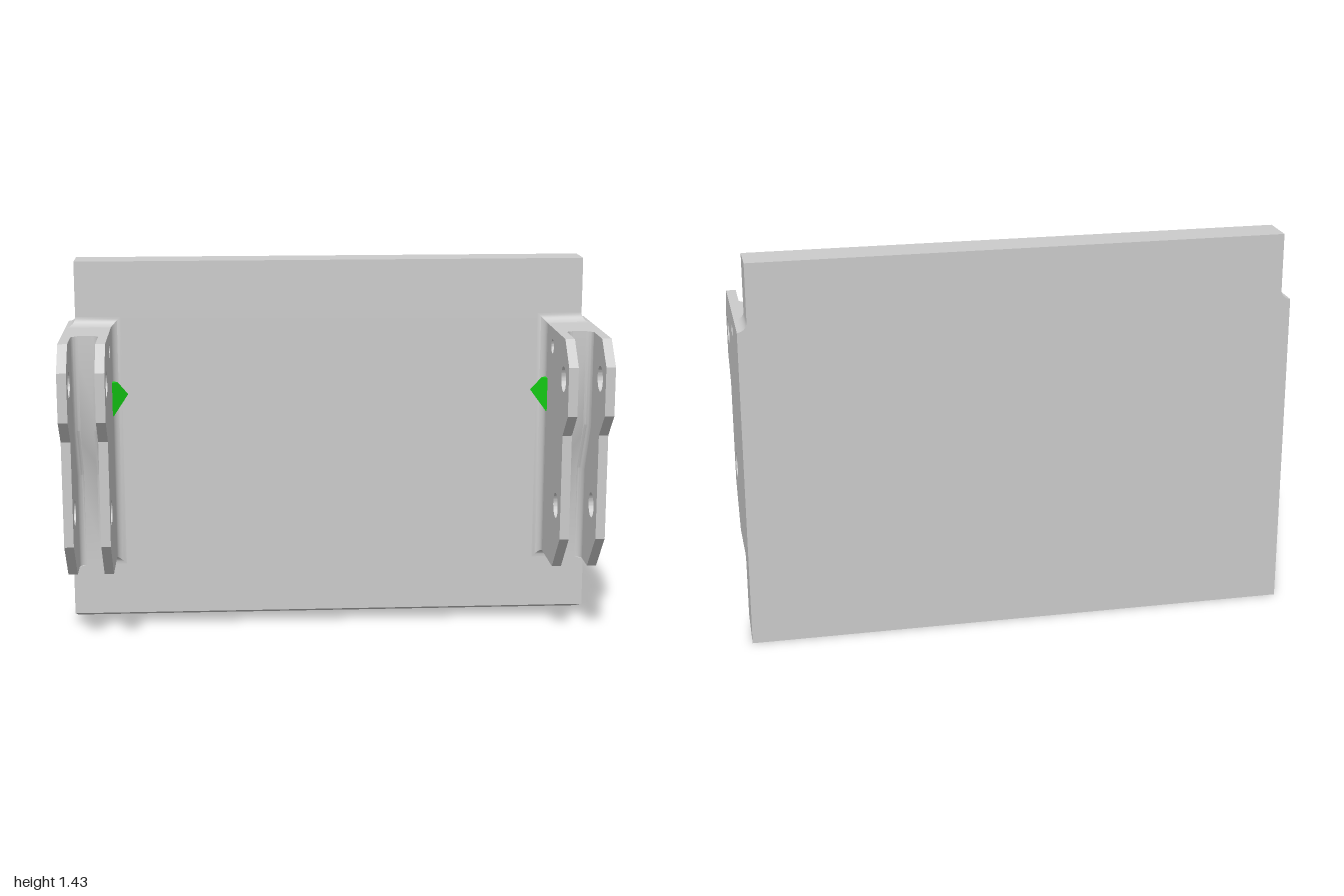
import * as THREE from 'three';
import { toCreasedNormals } from 'three/addons/utils/BufferGeometryUtils.js';

const grey = new THREE.MeshStandardMaterial({ color: 0xcccccc });
const green = new THREE.MeshStandardMaterial({ color: 0x14d214 });

const BACK = -0.312, FACE = -0.175;      // plate back and front
const IN = 0.83, OUT = 1, NOTCH = 0.965; // bracket inner and outer sides, notch side
const LOW = 0.285, TOP = 1.185;          // bracket bottom and top
const R = 0.035, STEPS = 8;              // root fillet
const SLOT_IN = 0.865, SLOT_OUT = 0.965;

// Concave quarter round: e = distance out from the plate, d = height above the bracket
const fillet = Array.from({ length: STEPS + 1 }, (_, k) => {
  const t = (k / STEPS) * Math.PI / 2;
  return { e: R * (1 - Math.cos(t)), d: R * (1 - Math.sin(t)) };
});

const polygon = (pts) => new THREE.Shape(pts.map(([x, y]) => new THREE.Vector2(x, y)));

// Extrudes a (z, y) outline with round holes between two x positions
function sideExtrude(pts, holes, x0, x1) {
  const shape = polygon(pts);
  for (const [z, y, r] of holes) shape.holes.push(new THREE.Path().absarc(z, y, r, 0, Math.PI * 2, true));
  return new THREE.ExtrudeGeometry(shape, { depth: x1 - x0, bevelEnabled: false, curveSegments: 24 })
    .rotateY(-Math.PI / 2).translate(x1, 0, 0);
}

// Joins rings of points into a surface, with optional fan caps
function loft(rings, caps) {
  const out = [];
  const tri = (...p) => {
    const [a, b, c] = p.map((q) => new THREE.Vector3(...q));
    if (b.sub(a).cross(c.sub(a)).length() > 1e-9) out.push(...p.flat());
  };
  const n = rings[0].length;
  for (let k = 0; k < rings.length - 1; k++) {
    for (let i = 0; i < n; i++) {
      const j = (i + 1) % n, lo = rings[k], hi = rings[k + 1];
      tri(lo[i], lo[j], hi[j]);
      tri(lo[i], hi[j], hi[i]);
    }
  }
  if (caps) {
    const first = rings[0], last = rings[rings.length - 1];
    for (let i = 1; i < n - 1; i++) {
      tri(first[0], first[i + 1], first[i]);
      tri(last[0], last[i], last[i + 1]);
    }
  }
  return new THREE.BufferGeometry().setAttribute('position', new THREE.Float32BufferAttribute(out, 3));
}

// Mirrors in x and restores the corner order
function mirrored(geometry) {
  const g = geometry.index ? geometry.toNonIndexed() : geometry.clone();
  g.scale(-1, 1, 1);
  const p = g.attributes.position;
  const a = new THREE.Vector3(), b = new THREE.Vector3();
  for (let i = 0; i < p.count; i += 3) {
    a.fromBufferAttribute(p, i + 1);
    b.fromBufferAttribute(p, i + 2);
    p.setXYZ(i + 1, b.x, b.y, b.z);
    p.setXYZ(i + 2, a.x, a.y, a.z);
  }
  return g;
}

function addMesh(parent, name, geometry, material = grey) {
  const mesh = new THREE.Mesh(toCreasedNormals(geometry, 0.5), material);
  mesh.name = name;
  parent.add(mesh);
}

// Plate with notched upper corners and a slanted lower edge
function plateGeometry() {
  const right = [[OUT, 0], ...fillet.slice().reverse().map(({ e, d }) => [NOTCH + e, TOP + d]), [NOTCH, 1.43]];
  const left = right.map(([x, y]) => [-x, y]).reverse();
  const g = new THREE.ExtrudeGeometry(polygon([...right, ...left]), { depth: FACE - BACK, bevelEnabled: false })
    .translate(0, 0, BACK);
  const p = g.attributes.position;
  for (let i = 0; i < p.count; i++) {
    if (p.getY(i) < 0.01 && p.getZ(i) > FACE - 0.01) p.setY(i, 0.05);
  }
  return g;
}

// Flared root that blends the bracket into the plate and around the notch
function rootGeometry() {
  return loft(fillet.map(({ e, d }, k) => {
    const ring = [[IN - d, LOW - d], [OUT, LOW - d]];
    for (let j = STEPS; j >= 0; j--) {
      const f = fillet[Math.max(j, k)];
      ring.push([NOTCH + f.e, TOP + f.d]);
    }
    ring.push([IN - d, TOP + d]);
    return ring.map(([x, y]) => [x, y, FACE + e]);
  }), false);
}

// Rounded inner corner along the stepped slot floor
function slotCornerGeometry(floor, x, dir) {
  const r = 0.025;
  return loft(floor.map(([z, y]) => {
    const ring = [[x, y, z]];
    for (let i = 0; i <= 6; i++) {
      const t = (i / 6) * Math.PI / 2;
      ring.push([x + dir * r * (1 - Math.cos(t)), y, z + r * (1 - Math.sin(t))]);
    }
    return dir > 0 ? ring : ring.reverse();
  }), true);
}

// Thin green slab set at 45 degrees in the corner
function markerGeometry() {
  const outline = [[0.835, 0.848], [0.835, 0.976], [0.81, 0.976], [0.773, 0.922], [0.826, 0.848]];
  const ring = (s) => outline.map(([x, y]) => [x + s, y, FACE + x - 0.773 - s]);
  return loft([ring(0.016), ring(0)], true);
}

export function createModel() {
  const model = new THREE.Group();
  model.name = 'mountingPlate';
  addMesh(model, 'plate', plateGeometry());

  const root = FACE + R;
  const cheek = [[root, LOW], [0.08, LOW], [0.22, 0.43], [0.22, 0.825], [0.312, 0.915],
    [0.312, 1.095], [0.222, TOP], [root, TOP]];
  const floor = [[-0.045, LOW], [-0.045, 0.64], [0.05, 0.83], [0.05, TOP]];
  const smallHole = [-0.03, 1.115, 0.027];
  const holes = [smallHole, [0.21, 1.035, 0.047], [0.12, 0.535, 0.047]];

  const parts = [
    ['innerCheek', sideExtrude(cheek, holes, IN, SLOT_IN)],
    ['outerCheek', sideExtrude(cheek, holes, SLOT_OUT, OUT)],
    ['slotCore', sideExtrude([[root, LOW], ...floor, [root, TOP]], [smallHole], SLOT_IN, SLOT_OUT)],
    ['slotInnerCorner', slotCornerGeometry(floor, SLOT_IN, 1)],
    ['slotOuterCorner', slotCornerGeometry(floor, SLOT_OUT, -1)],
    ['bracketRoot', rootGeometry()],
    ['cornerMarker', markerGeometry(), green],
  ];

  // The same bracket on both sides
  for (const side of ['left', 'right']) {
    const bracket = new THREE.Group();
    bracket.name = side + 'Bracket';
    for (const [name, geometry, material] of parts) {
      addMesh(bracket, name, side === 'left' ? geometry : mirrored(geometry), material);
    }
    model.add(bracket);
  }
  return model;
}
